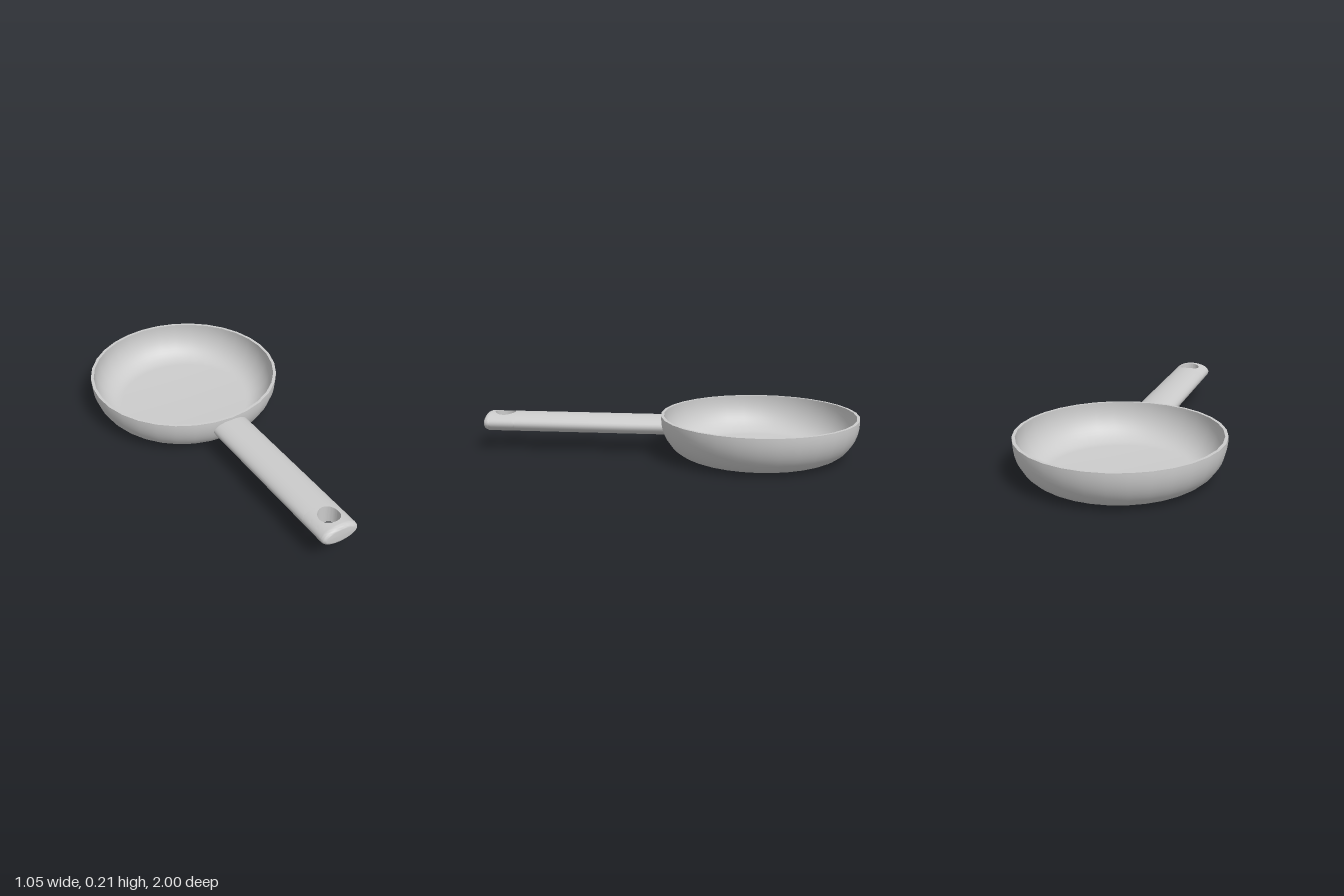
import * as THREE from 'three';
import { mergeGeometries, toCreasedNormals } from 'three/addons/utils/BufferGeometryUtils.js';
import { ParametricGeometry } from 'three/addons/geometries/ParametricGeometry.js';

const PAN_Z = -0.477;              // centre of the bowl
const BASE_R = 0.36;               // radius of the flat base
const WALL_TOP = 0.2, RIM_Y = 0.21;
const HANDLE_Y = 0.145, HALF_W = 0.102, HALF_H = 0.051;
const HOLE_Z = 0.9, HOLE_R = 0.055, BLOCK = 0.075;

// Bowl: flat base, elliptical flank, thin rim, and the same profile inside
function bowlGeometry() {
  const flank = (rx, ry) => {
    const pts = [];
    for (let i = 0; i <= 12; i++) {
      const a = (i / 12) * Math.PI / 2;
      pts.push(new THREE.Vector2(BASE_R + rx * Math.sin(a), WALL_TOP - ry * Math.cos(a)));
    }
    pts.push(new THREE.Vector2(BASE_R + rx, RIM_Y));
    return pts;
  };
  const profile = [
    new THREE.Vector2(0, 0),
    ...flank(0.163, 0.2),
    ...flank(0.147, 0.184).reverse(),
    new THREE.Vector2(0, 0.016),
  ];
  return toCreasedNormals(new THREE.LatheGeometry(profile, 32), 0.7);
}

// Point on the elliptical handle section at angle a from the top
function section(a, z, inset, target) {
  return target.set((HALF_W - inset) * Math.sin(a), HANDLE_Y + (HALF_H - inset) * Math.cos(a), z);
}

// Depth of the middle of the bowl wall, where the handle begins
function wallZ(x, y) {
  const r = BASE_R + 0.154 * Math.sqrt(1 - ((WALL_TOP - y) / WALL_TOP) ** 2);
  return PAN_Z + Math.sqrt(r * r - x * x);
}

// Point on the upper (side 1) or lower (side -1) face, from hole edge (v 0) to a square border (v 1)
function holeFace(side, u, v, target) {
  const corners = [[1, -1], [1, 1], [-1, 1], [-1, -1]];
  const q = u * 4, k = Math.floor(q), t = q - k;
  const c = corners[k % 4], d = corners[(k + 1) % 4];
  const theta = u * 2 * Math.PI - Math.PI / 4;
  const innerA = Math.asin(HOLE_R * Math.cos(theta) / HALF_W);
  const outerA = THREE.MathUtils.lerp(c[0], d[0], t) * Math.PI / 2;
  const innerZ = HOLE_R * Math.sin(theta);
  const outerZ = THREE.MathUtils.lerp(c[1], d[1], t) * BLOCK;
  section(THREE.MathUtils.lerp(innerA, outerA, v), HOLE_Z + THREE.MathUtils.lerp(innerZ, outerZ, v), 0, target);
  if (side < 0) target.y = 2 * HANDLE_Y - target.y;
  return target;
}

function handleGeometry() {
  const TAU = Math.PI * 2, AROUND = 32, TIP = 1 - HOLE_Z - BLOCK, INSET = 0.02;

  // Shaft from the bowl wall to the hole
  const shaft = new ParametricGeometry((u, v, p) => {
    section(-u * TAU, 0, 0, p);
    p.z = THREE.MathUtils.lerp(wallZ(p.x, p.y), HOLE_Z - BLOCK, v);
  }, AROUND, 4);

  // Faces around the hanging hole
  const top = new ParametricGeometry((u, v, p) => holeFace(1, u, v, p), AROUND * 2, 8);
  const bottom = new ParametricGeometry((u, v, p) => holeFace(-1, 1 - u, v, p), AROUND * 2, 8);

  // Inside of the hanging hole
  const bore = new ParametricGeometry((u, v, p) => {
    holeFace(1, u, 0, p);
    p.y = HANDLE_Y + (p.y - HANDLE_Y) * (2 * v - 1);
  }, AROUND * 2, 1);

  // Rounded end and its flat cap
  const tip = new ParametricGeometry((u, v, p) => {
    const f = v * Math.PI / 2;
    section(-u * TAU, HOLE_Z + BLOCK + TIP * Math.sin(f), INSET * (1 - Math.cos(f)), p);
  }, AROUND, 6);
  const cap = new ParametricGeometry((u, v, p) => {
    section(-u * TAU, 1, INSET, p);
    p.x *= 1 - v;
    p.y = HANDLE_Y + (p.y - HANDLE_Y) * (1 - v);
  }, AROUND, 1);

  return toCreasedNormals(mergeGeometries([shaft, top, bottom, bore, tip, cap]), 0.75);
}

export function createModel() {
  const group = new THREE.Group();
  group.name = 'fryingPan';
  const material = new THREE.MeshStandardMaterial({ color: 0xcccccc });

  const bowl = new THREE.Mesh(bowlGeometry(), material);
  bowl.name = 'bowl';
  bowl.position.z = PAN_Z;

  const handle = new THREE.Mesh(handleGeometry(), material);
  handle.name = 'handle';

  group.add(bowl, handle);
  return group;
}
